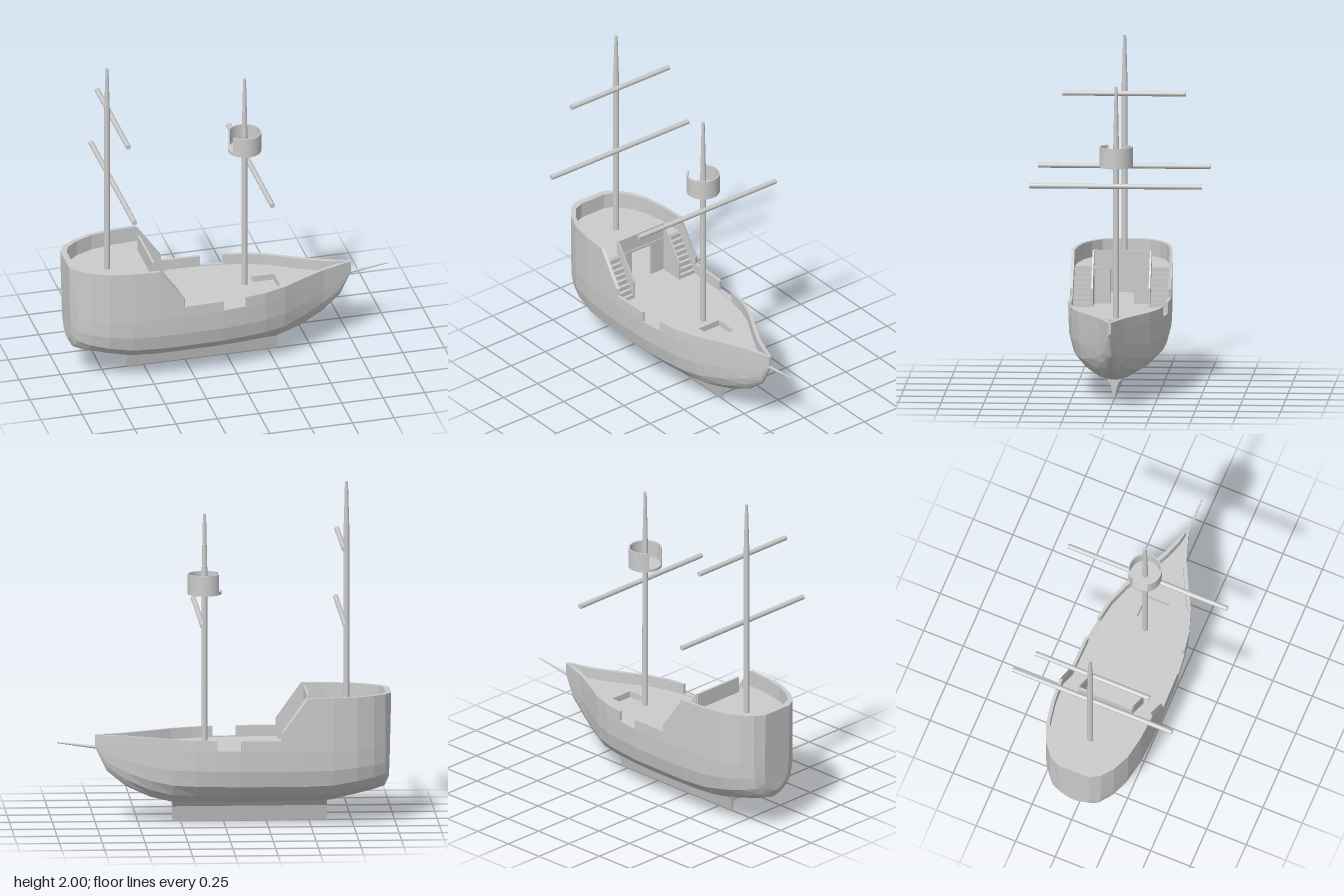
import * as THREE from 'three';

const DECK = 0.45, UPPER = 0.67, CABIN_X = -0.48;

// hull stations from stern to bow: x, half width, bottom height, rail height
const STATIONS = [
  [-0.965, 0.10, 0.25, 0.765], [-0.94, 0.16, 0.20, 0.765], [-0.87, 0.215, 0.178, 0.765],
  [-0.77, 0.26, 0.155, 0.765], [-0.63, 0.285, 0.122, 0.765], [CABIN_X, 0.295, 0.115, 0.765],
  [-0.33, 0.297, 0.115, 0.56], [-0.33, 0.297, 0.115, 0.515],
  [-0.09, 0.292, 0.115, 0.515], [-0.09, 0.292, 0.115, 0.455],
  [0.05, 0.275, 0.115, 0.455], [0.05, 0.275, 0.115, 0.515],
  [0.17, 0.255, 0.115, 0.515], [0.30, 0.21, 0.115, 0.515], [0.43, 0.14, 0.145, 0.515],
  [0.57, 0.07, 0.21, 0.515], [0.68, 0.032, 0.30, 0.515], [0.75, 0.008, 0.44, 0.515],
];
// cross-section below the deck: fraction of half width, fraction of height
const SECTION = [[1, 1], [0.98, 0.65], [0.9, 0.37], [0.69, 0.18], [0.38, 0.05], [0.14, 0.01], [0, 0]];

const innerX = x => -0.01 + (x + 0.01) * 0.975;
const innerW = w => Math.max(w - 0.018, 0.002);

function createModel() {
  const ship = new THREE.Group();
  ship.name = 'sailingShip';
  const flat = new THREE.MeshStandardMaterial({ color: 0xcccccc, flatShading: true, side: THREE.DoubleSide });
  const smooth = new THREE.MeshStandardMaterial({ color: 0xcccccc });

  function add(name, geometry, material = flat, x = 0, y = 0, z = 0) {
    const mesh = new THREE.Mesh(geometry, material);
    mesh.name = name;
    mesh.position.set(x, y, z);
    ship.add(mesh);
    return mesh;
  }
  const polygon = pts => new THREE.Shape(pts.map(p => new THREE.Vector2(p[0], p[1])));
  const extrude = (shape, depth, curveSegments = 12) =>
    new THREE.ExtrudeGeometry(shape, { depth, bevelEnabled: false, curveSegments });

  add('hull', hullGeometry());

  // keel fin with a section that narrows to an edge
  const keel = [[0.055, 0.135], [0.022, 0.09], [0.012, 0.05], [0, 0], [-0.012, 0.05], [-0.022, 0.09], [-0.055, 0.135]];
  add('keel', extrude(polygon(keel), 0.905).rotateY(Math.PI / 2), flat, -0.605);

  // decks follow the inside of the hull
  function deckShape(maxX) {
    const edge = STATIONS.filter((s, i) => s[0] <= maxX && (i === 0 || s[0] !== STATIONS[i - 1][0]))
      .map(([x, w]) => [innerX(x) - 0.004, innerW(w) + 0.004]);
    return polygon([...edge, ...edge.map(([x, w]) => [x, -w]).reverse()]);
  }
  const mainDeck = deckShape(1);
  mainDeck.holes.push(polygon([[0.165, -0.073], [0.165, 0.073], [0.305, 0.073], [0.305, -0.073]]));
  add('mainDeck', new THREE.ShapeGeometry(mainDeck).rotateX(-Math.PI / 2), flat, 0, DECK);
  add('quarterDeck', extrude(deckShape(CABIN_X), 0.015).rotateX(-Math.PI / 2), flat, 0, UPPER - 0.015);

  // sunken hatch: four sides and a floor
  const hatchY = DECK - 0.02;
  for (const s of [-1, 1]) {
    add('hatchSide', new THREE.BoxGeometry(0.15, 0.04, 0.005), flat, 0.235, hatchY, s * 0.0755);
    add('hatchEnd', new THREE.BoxGeometry(0.005, 0.04, 0.146), flat, 0.235 + s * 0.0725, hatchY, 0);
  }
  add('hatchFloor', new THREE.BoxGeometry(0.15, 0.005, 0.156), flat, 0.235, DECK - 0.04, 0);

  // cabin front with its doorway, lower behind the stairs
  const front = polygon([[-0.285, DECK], [-0.07, DECK], [-0.07, 0.655], [0.07, 0.655], [0.07, DECK],
    [0.285, DECK], [0.285, UPPER], [0.17, UPPER], [0.17, 0.765], [-0.17, 0.765], [-0.17, UPPER], [-0.285, UPPER]]);
  add('cabinFront', extrude(front, 0.014).rotateY(Math.PI / 2), flat, CABIN_X - 0.012);

  // mirrored stairs, each with a sloping inner balustrade
  const balustrade = polygon([[CABIN_X, DECK], [-0.33, DECK], [-0.33, 0.56], [CABIN_X, 0.765]]);
  const steps = 8, run = 0.15 / steps, rise = (UPPER - DECK) / steps;
  for (const s of [-1, 1]) {
    for (let i = 0; i < steps; i++) {
      const h = rise * (steps - i) - 0.004;
      add('stairStep', new THREE.BoxGeometry(run, h, 0.115), flat,
        CABIN_X + run * (i + 0.5), DECK + h / 2, s * 0.226);
    }
    add('stairBalustrade', extrude(balustrade, 0.01), flat, 0, 0, s * 0.168 - 0.005);
  }

  // masts: straight below, tapering above
  function mast(name, x, base, taper, top) {
    const profile = [[0, base], [0.018, base], [0.017, taper], [0.009, top], [0, top]];
    add(name, new THREE.LatheGeometry(profile.map(p => new THREE.Vector2(...p)), 12), flat, x);
  }
  mast('mainMast', -0.72, UPPER - 0.01, 1.72, 2);
  mast('foreMast', 0.11, DECK - 0.01, 1.46, 1.815);

  // yards lie across the ship, just ahead of the masts
  for (const [name, x, y, length] of [['mainLowerYard', -0.685, 1.233, 1.01],
    ['mainUpperYard', -0.685, 1.66, 0.72], ['foreYard', 0.147, 1.233, 1.01]])
    add(name, new THREE.CylinderGeometry(0.015, 0.015, length, 12).rotateX(Math.PI / 2), smooth, x, y);

  // lookout nest, open towards the stern
  const ring = new THREE.Shape(), a0 = Math.PI + 0.56, a1 = 3 * Math.PI - 0.56;
  ring.absarc(0, 0, 0.098, a0, a1, false);
  ring.absarc(0, 0, 0.09, a1, a0, true);
  add('nestWall', extrude(ring, 0.12, 24).rotateX(-Math.PI / 2), flat, 0.11, 1.342);
  add('nestFloor', new THREE.CylinderGeometry(0.098, 0.098, 0.018, 32), smooth, 0.11, 1.351);

  // bowsprit
  const sprit = add('bowsprit', new THREE.CylinderGeometry(0.004, 0.014, 0.42, 10), flat, 0.765, 0.444);
  sprit.rotation.z = -Math.PI / 2 + 0.13;

  return ship;
}

// lofted hull: inner rail, rail top, outer side and bottom, closed at stern and bow
function hullGeometry() {
  const rows = STATIONS.map(([x, w, b, rim], i) => {
    const rake = y => (i === 0 ? x - 0.024 * Math.max(0, y - 0.3) : x);
    const xi = innerX(x), wi = innerW(w);
    return [[xi, DECK - 0.005, wi], [xi, rim, wi], [rake(rim), rim, w],
      ...SECTION.map(([fw, fy]) => {
        const y = b + (DECK - b) * fy;
        return [rake(y), y, w * fw];
      })];
  });
  const pos = [];
  const quad = (a, b, c, d) => pos.push(...a, ...b, ...c, ...a, ...c, ...d);
  const side = (p, s) => [p[0], p[1], p[2] * s];
  const n = rows[0].length, last = rows.length - 1;
  for (let j = 0; j < n - 1; j++) {
    for (let i = 0; i < last; i++) {
      const q = [rows[i][j], rows[i][j + 1], rows[i + 1][j + 1], rows[i + 1][j]];
      quad(...q.map(p => side(p, 1)));
      quad(...q.map(p => side(p, -1)).reverse());
    }
    const cap = r => [side(r[j], 1), side(r[j], -1), side(r[j + 1], -1), side(r[j + 1], 1)];
    quad(...cap(rows[0]));
    quad(...cap(rows[last]).reverse());
  }
  const g = new THREE.BufferGeometry();
  g.setAttribute('position', new THREE.Float32BufferAttribute(pos, 3));
  g.computeVertexNormals();
  return g;
}

export { createModel };
